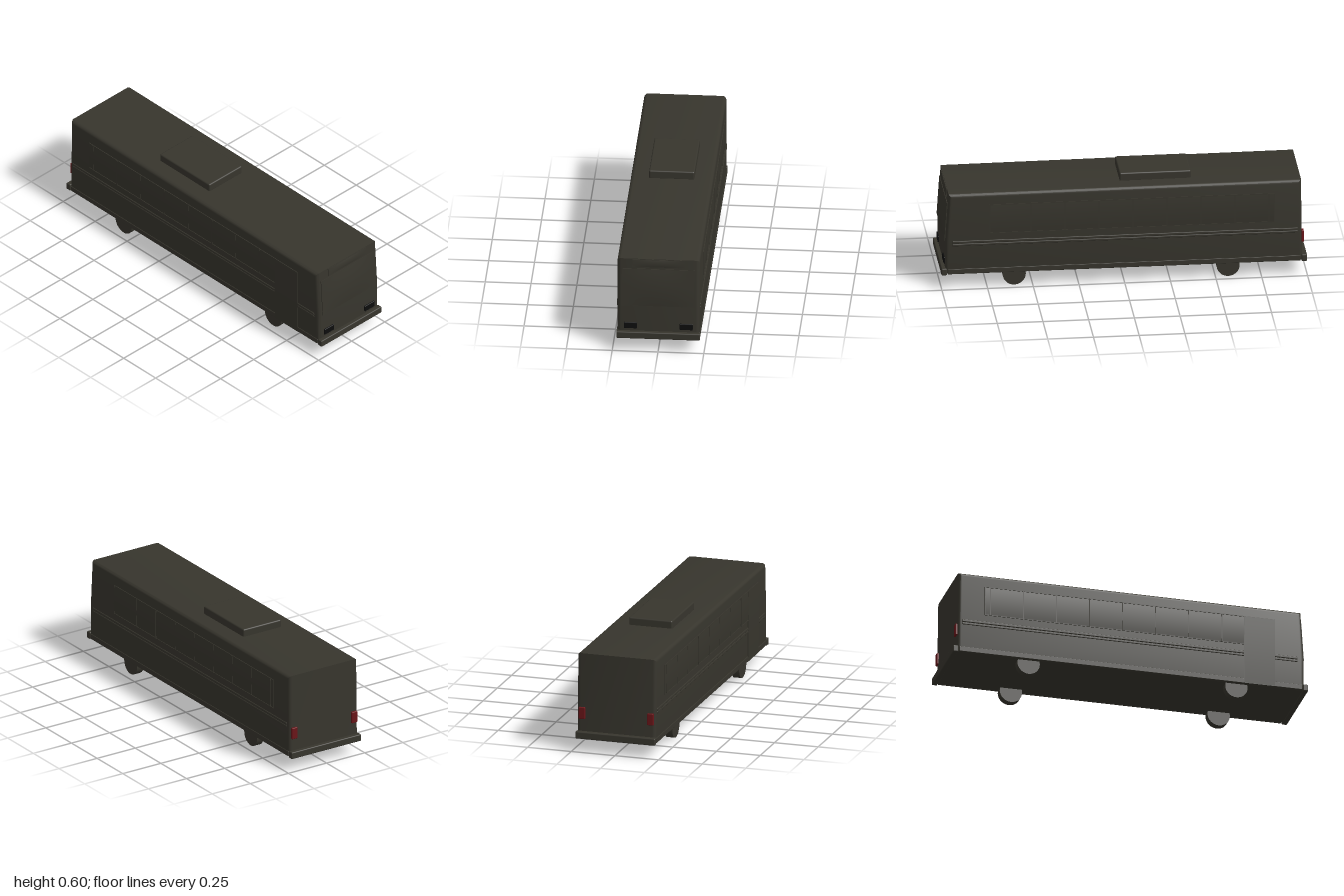
import * as THREE from 'three';
import { toCreasedNormals } from 'three/addons/utils/BufferGeometryUtils.js';
import { RoundedBoxGeometry } from 'three/addons/geometries/RoundedBoxGeometry.js';

const SIDE = 0.225; // half width of the body

export function createModel() {
  const paint = new THREE.MeshStandardMaterial({ color: 0x37352d });
  const lampBlack = new THREE.MeshStandardMaterial({ color: 0x0d0d0d });
  const lampRed = new THREE.MeshStandardMaterial({ color: 0x6a1519 });
  paint.name = 'darkOlivePaint';
  lampBlack.name = 'blackLamp';
  lampRed.name = 'redLamp';

  const bus = new THREE.Group();
  bus.name = 'bus';

  function add(name, geometry, x, y, z, material = paint, parent = bus) {
    const mesh = new THREE.Mesh(geometry, material);
    mesh.name = name;
    mesh.position.set(x, y, z);
    parent.add(mesh);
    return mesh;
  }
  const box = (w, h, d) => new THREE.BoxGeometry(w, h, d);
  const rounded = (w, h, d, r) => new RoundedBoxGeometry(w, h, d, 3, r);

  // Gently bulging panel facing +z, with smooth normals
  function panel(w, h, bulge, bothWays = false) {
    const g = new THREE.PlaneGeometry(w, h, 10, 10);
    const p = g.attributes.position;
    for (let i = 0; i < p.count; i++) {
      const u = bothWays ? p.getX(i) / (w / 2) : 0;
      const v = p.getY(i) / (h / 2);
      p.setZ(i, bulge * (1 - u * u) * (1 - v * v));
    }
    g.computeVertexNormals();
    return g;
  }

  // Body shell: side profile extruded across the width with rounded edges
  const profile = new THREE.Shape([
    [-0.975, 0.08], [0.978, 0.08], [0.978, 0.27], [0.96, 0.547], [-0.968, 0.555],
  ].map(([x, y]) => new THREE.Vector2(x, y)));
  const r = 0.02;
  const shell = new THREE.ExtrudeGeometry(profile, {
    depth: 2 * (SIDE - r), bevelThickness: r, bevelSize: r, bevelOffset: -r, bevelSegments: 4,
  });
  shell.translate(0, 0, -(SIDE - r));
  add('body', toCreasedNormals(shell, 0.6), 0, 0, 0);

  // Roof air unit
  add('roofUnit', rounded(0.39, 0.05, 0.248, 0.008), -0.18, 0.57, 0);

  // Both long sides: windows, dividers, trim and skirt
  for (const s of [1, -1]) {
    const side = new THREE.Group();
    side.name = s > 0 ? 'doorSide' : 'farSide';
    bus.add(side);
    const x0 = -0.82, x1 = s > 0 ? 0.645 : 0.735, mid = (x0 + x1) / 2;
    const band = add('windowBand', panel(x1 - x0, 0.165, 0.004), mid, 0.399, s * (SIDE + 0.0005), paint, side);
    if (s < 0) band.rotation.y = Math.PI;
    for (const y of [0.316, 0.482]) {
      add('windowRail', box(x1 - x0, 0.004, 0.008), mid, y, s * SIDE, paint, side);
    }
    for (const x of [x0, x1]) {
      add('windowEdge', box(0.004, 0.168, 0.008), x, 0.399, s * SIDE, paint, side);
    }
    for (let i = 0; i < 8; i++) {
      add('windowDivider', box(0.005, 0.165, 0.01), -0.79 + i * 0.186, 0.399, s * SIDE, paint, side);
    }
    add('trimUpper', rounded(1.89, 0.016, 0.012, 0.004), -0.005, 0.268, s * (SIDE - 0.002), paint, side);
    add('trimLower', rounded(1.89, 0.014, 0.01, 0.004), -0.005, 0.252, s * (SIDE - 0.002), paint, side);
    add('skirt', rounded(1.93, 0.03, 0.01, 0.003), 0, 0.097, s * (SIDE - 0.002), paint, side);
  }

  // Entrance door
  add('door', box(0.175, 0.4, 0.008), 0.725, 0.283, SIDE);
  add('doorPanel', panel(0.173, 0.396, 0.004), 0.725, 0.283, SIDE + 0.0042);

  // Sloped front: windscreen and destination sign
  const slope = Math.atan2(0.018, 0.277);
  const frontX = (y) => 0.978 - 0.018 * (y - 0.27) / 0.277;
  function onFront(name, h, w, y, bulge) {
    const g = new THREE.Group();
    g.name = name;
    g.position.set(frontX(y), y, 0);
    g.rotation.z = slope;
    bus.add(g);
    add(name + 'Plate', box(0.008, h, w), 0, 0, 0, paint, g);
    add(name + 'Face', panel(w - 0.003, h - 0.003, bulge, true), 0.0045, 0, 0, paint, g).rotation.y = Math.PI / 2;
  }
  onFront('windscreen', 0.221, 0.4, 0.379, 0.008);
  onFront('destinationSign', 0.045, 0.286, 0.522, 0.003);

  // Bumpers and lamps
  for (const s of [1, -1]) {
    add(s > 0 ? 'frontBumper' : 'rearBumper', rounded(0.03, 0.04, 0.456, 0.006), s * 0.985, 0.096, 0);
    add('headlight', rounded(0.012, 0.036, 0.072, 0.004), 0.979, 0.149, s * 0.152, lampBlack);
    add('tailLight', rounded(0.014, 0.066, 0.036, 0.004), -0.977, 0.218, s * 0.196, lampRed);
  }

  // Wheels
  const tyre = new THREE.CylinderGeometry(0.063, 0.063, 0.043, 32).rotateX(Math.PI / 2);
  for (const x of [-0.57, 0.6]) {
    for (const s of [1, -1]) add('wheel', tyre, x, 0.063, s * 0.187);
  }

  return bus;
}
